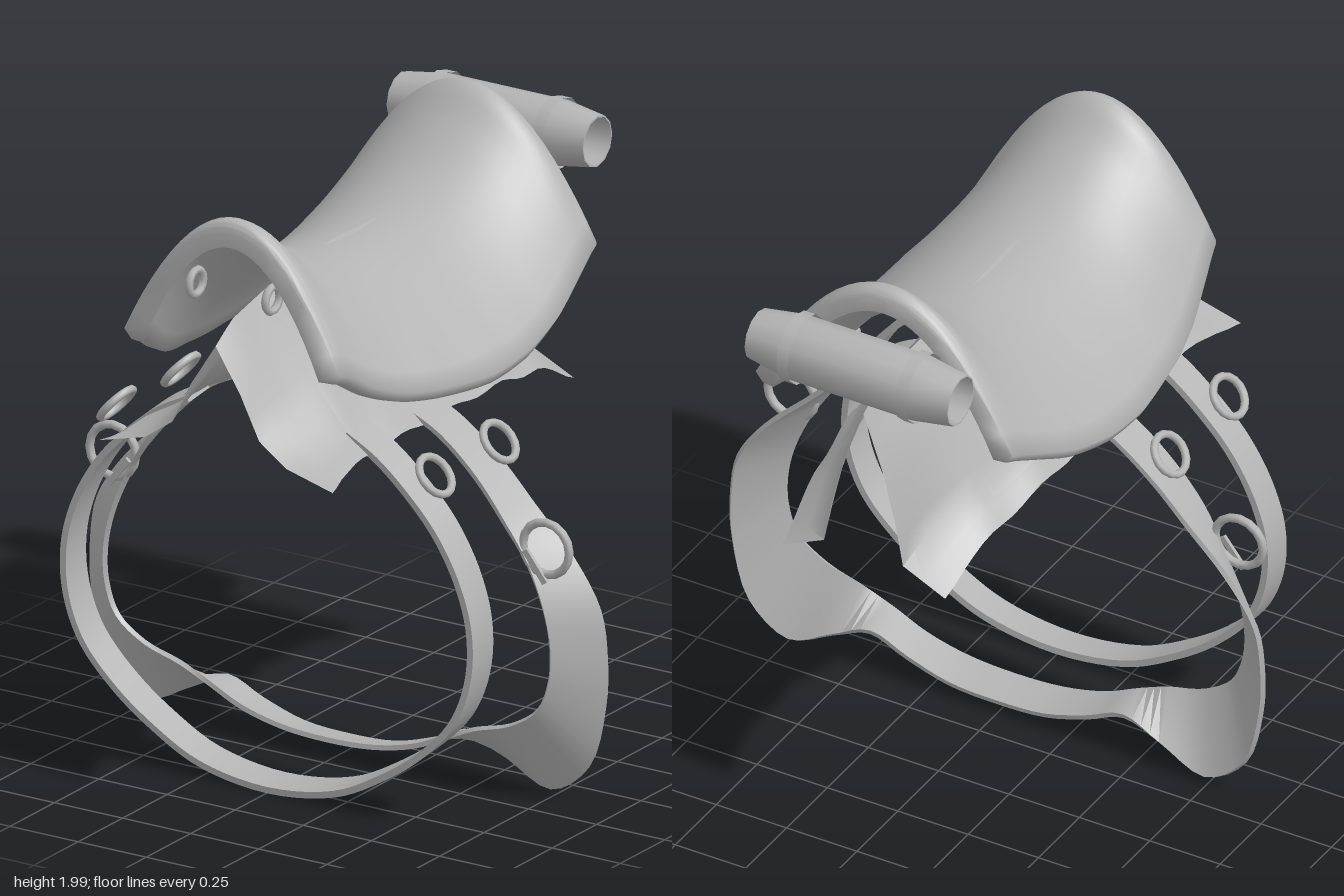
import * as THREE from 'three';
import { toCreasedNormals } from 'three/addons/utils/BufferGeometryUtils.js';

const V = (x, y, z) => new THREE.Vector3(x, y, z);

// Skin a list of cross-sections; `loop` closes each section, `caps` fills the two ends of a loop
function skin(rows, loop, caps = false, crease = 0.8) {
  const n = rows[0].length, index = [];
  for (let i = 0; i < rows.length - 1; i++) {
    for (let j = 0; j < (loop ? n : n - 1); j++) {
      const k = (j + 1) % n, a = i * n, b = a + n;
      index.push(a + j, b + j, a + k, a + k, b + j, b + k);
    }
  }
  if (caps) {
    // bridge the upper half of the section to its lower half
    for (const [base, flip] of [[0, false], [(rows.length - 1) * n, true]]) {
      for (let j = 0; j < n / 2 - 1; j++) {
        const a = base + j, b = a + 1, c = base + n - 1 - j, d = c - 1;
        index.push(...(flip ? [a, c, b, b, c, d] : [a, b, c, b, d, c]));
      }
    }
  }
  const geo = new THREE.BufferGeometry().setFromPoints(rows.flat());
  geo.setIndex(index);
  return toCreasedNormals(geo, crease);
}

// Linear lookup in a table whose first column is a falling z
function lookup(table, z) {
  let i = 0;
  while (i < table.length - 2 && z < table[i + 1][0]) i++;
  const t = (table[i][0] - z) / (table[i][0] - table[i + 1][0]);
  return table[i].map((v, k) => v + (table[i + 1][k] - v) * t);
}

// Seat: z, crest height, outer edge height, half width
const SEAT = [
  [0.775, 1.9, 1.515, 0.39], [0.765, 1.93, 1.51, 0.397], [0.73, 1.94, 1.5, 0.407],
  [0.62, 1.85, 1.435, 0.435], [0.5, 1.78, 1.39, 0.47], [0.35, 1.722, 1.365, 0.505],
  [0.1, 1.695, 1.345, 0.535], [-0.1, 1.71, 1.365, 0.535], [-0.29, 1.785, 1.415, 0.515],
  [-0.44, 1.9, 1.48, 0.485], [-0.54, 2.0, 1.525, 0.465], [-0.575, 1.985, 1.54, 0.46],
  [-0.585, 1.965, 1.545, 0.455],
];
function seatGeometry() {
  const N = 24, steps = 48;
  const spine = new THREE.CatmullRomCurve3(SEAT.map(([z, top, low]) => V(top, low, z)));
  const rows = [];
  for (let i = 0; i <= steps; i++) {
    const { x: top, y: low, z } = spine.getPoint(i / steps);
    const w = lookup(SEAT, z)[3], drop = top - low, upper = [], under = [];
    for (let j = 0; j <= N; j++) {
      const u = (j / N) * 2 - 1;
      const normal = V(2 * u * drop / w, 1, 0).normalize();
      const p = V(u * w, top - drop * u * u, z);
      upper.push(p);
      under.unshift(p.clone().addScaledVector(normal, -(0.045 + 0.03 * u * u)));
    }
    // rounded lower tip on each side
    const tip = (a, b, side) => a.clone().add(b).multiplyScalar(0.5).add(V(side * 0.008, -0.014, 0));
    rows.push([tip(upper[0], under[N], -1), ...upper, tip(upper[N], under[0], 1), ...under]);
  }
  return skin(rows, true, true, 1.3);
}

// Saddle cloth: z, then five x,y points from ridge to hem
const CLOTH = [
  [0.86, 0, 1.56, 0.09, 1.42, 0.16, 1.28, 0.26, 1.21, 0.43, 1.165],
  [0.77, 0, 1.62, 0.095, 1.45, 0.18, 1.30, 0.28, 1.22, 0.40, 1.18],
  [0.55, 0, 1.67, 0.1, 1.51, 0.20, 1.36, 0.29, 1.25, 0.37, 1.19],
  [0.2, 0, 1.71, 0.1, 1.54, 0.20, 1.38, 0.29, 1.25, 0.36, 1.19],
  [-0.2, 0, 1.695, 0.1, 1.54, 0.20, 1.38, 0.28, 1.25, 0.35, 1.18],
  [-0.45, 0, 1.69, 0.1, 1.52, 0.17, 1.36, 0.23, 1.23, 0.32, 1.14],
  [-0.6, 0, 1.68, 0.085, 1.50, 0.135, 1.32, 0.17, 1.18, 0.30, 1.09],
  [-0.71, 0, 1.62, 0.07, 1.42, 0.115, 1.24, 0.14, 1.1, 0.29, 1.03],
];
function clothPoint(z, s, side, lift = 0) {
  const row = lookup(CLOTH, z), i = Math.min(Math.floor(s), 3), t = s - i;
  const at = (k) => row[1 + 2 * i + k] + (row[3 + 2 * i + k] - row[1 + 2 * i + k]) * t;
  const wave = s > 2 ? 0.004 * (s - 2) * Math.sin(z * 22) : 0;
  return V(side * (at(0) + lift * 0.8), at(1) + wave + lift * 0.6, z);
}
function clothGeometry(z0, z1, sValues, lift) {
  const rows = [];
  for (let i = 0; i <= 32; i++) {
    const z = z0 + (z1 - z0) * i / 32;
    rows.push(sValues.map((s) => clothPoint(z, Math.abs(s), Math.sign(s) || 1, lift)));
  }
  return skin(rows, false);
}

// Strap between two edge curves, given as right-hand x,y,z points from top to middle and mirrored
function strapGeometry(edgeA, edgeB, thickness) {
  const curve = (pts) => {
    const half = pts.map((p) => V(...p));
    const other = half.slice(0, -1).reverse().map((p) => V(-p.x, p.y, p.z));
    return new THREE.CatmullRomCurve3([...half, ...other]);
  };
  const a = curve(edgeA), b = curve(edgeB), rows = [], steps = 112;
  for (let i = 0; i <= steps; i++) {
    const t = i / steps, p = a.getPoint(t), q = b.getPoint(t);
    const n = a.getTangent(t).add(b.getTangent(t)).cross(q.clone().sub(p)).normalize().multiplyScalar(thickness / 2);
    rows.push([p.clone().add(n), q.clone().add(n), q.clone().sub(n), p.clone().sub(n)]);
  }
  return skin(rows, true, true, 0.7);
}

export function createModel() {
  const model = new THREE.Group();
  const leather = new THREE.MeshStandardMaterial({ color: 0xb4b4b4, side: THREE.DoubleSide });
  leather.name = 'grey leather';
  const add = (name, geo, x = 0, y = 0, z = 0) => {
    const mesh = new THREE.Mesh(geo, leather);
    mesh.name = name;
    mesh.position.set(x, y, z);
    model.add(mesh);
    return mesh;
  };

  add('seat', seatGeometry());
  add('saddleCloth', clothGeometry(0.86, -0.71, [-4, -3.5, -3, -2.5, -2, -1.5, -1, -0.5, 0, 0.5, 1, 1.5, 2, 2.5, 3, 3.5, 4], 0));
  for (const side of [-1, 1]) {
    add('clothPanel', clothGeometry(0.58, -0.39, [0.6, 1, 1.5, 2, 2.5, 3, 3.3].map((s) => s * side), 0.012));
  }

  // Front girth: a plain round band
  const round = [[0.29, 1.24], [0.4, 1.18], [0.52, 1.08], [0.62, 0.97], [0.7, 0.83], [0.743, 0.68], [0.738, 0.52],
    [0.68, 0.37], [0.56, 0.24], [0.42, 0.14], [0.25, 0.055], [0, 0.018]];
  add('frontGirth', strapGeometry(round.map(([x, y]) => [x, y + 0.012, 0.46]), round.map(([x, y]) => [x, y, 0.575]), 0.022));

  // Rear girth: twists outward into broad wings
  const outer = [[0.3, 1.23], [0.42, 1.17], [0.56, 1.06], [0.68, 0.94], [0.82, 0.8], [0.92, 0.65], [0.945, 0.5], [0.94, 0.34],
    [0.88, 0.13], [0.74, 0.03], [0.58, 0.1], [0.45, 0.155], [0.32, 0.105], [0.17, 0.06], [0, 0.05]];
  const inner = [[0.3, 1.22], [0.42, 1.16], [0.55, 1.05], [0.65, 0.93], [0.73, 0.8], [0.79, 0.66], [0.815, 0.54], [0.81, 0.43],
    [0.77, 0.33], [0.67, 0.26], [0.54, 0.22], [0.44, 0.175], [0.32, 0.12], [0.17, 0.085], [0, 0.075]];
  add('rearGirth', strapGeometry(outer.map(([x, y]) => [x, y, 0.105]),
    inner.map(([x, y]) => [x, y, y > 0.9 ? 0.245 : 0.23]), 0.016));

  for (const side of [-1, 1]) {
    // Leaning strap rings
    for (const z of [0.52, 0.16]) {
      const ring = add('strapRing', new THREE.TorusGeometry(0.066, 0.013, 8, 16), side * 0.585, 1.15, z);
      ring.lookAt(side * (0.585 + 0.77), 1.15 + 0.64, z);
    }
    // Large girth rings with a short tongue
    add('girthRing', new THREE.TorusGeometry(0.085, 0.014, 8, 16), side * 0.795, 0.86, 0.22);
    const tongue = add('girthTongue', new THREE.BoxGeometry(0.12, 0.02, 0.012), side * 0.765, 0.8, 0.235);
    tongue.rotation.z = side * -0.9;
    // Small rings under the front arch
    const dee = add('frontRing', new THREE.TorusGeometry(0.04, 0.013, 6, 14), side * 0.14, 1.71, 0.755);
    dee.rotation.y = Math.PI / 2;
    // Bands round the roll
    const band = add('rollBand', new THREE.CylinderGeometry(0.114, 0.114, 0.04, 12, 1, true), side * 0.21, 1.81, -0.735);
    band.rotation.z = Math.PI / 2;
  }

  // Hollow bed roll with tapered ends
  const profile = [[0.083, -0.36], [0.105, -0.22], [0.105, 0.22], [0.083, 0.36], [0.078, 0.36], [0.078, -0.36], [0.083, -0.36]];
  const roll = new THREE.LatheGeometry(profile.map((p) => new THREE.Vector2(...p)), 12);
  const bedRoll = add('bedRoll', toCreasedNormals(roll, 0.6), 0, 1.81, -0.735);
  bedRoll.rotation.z = Math.PI / 2;

  return model;
}
